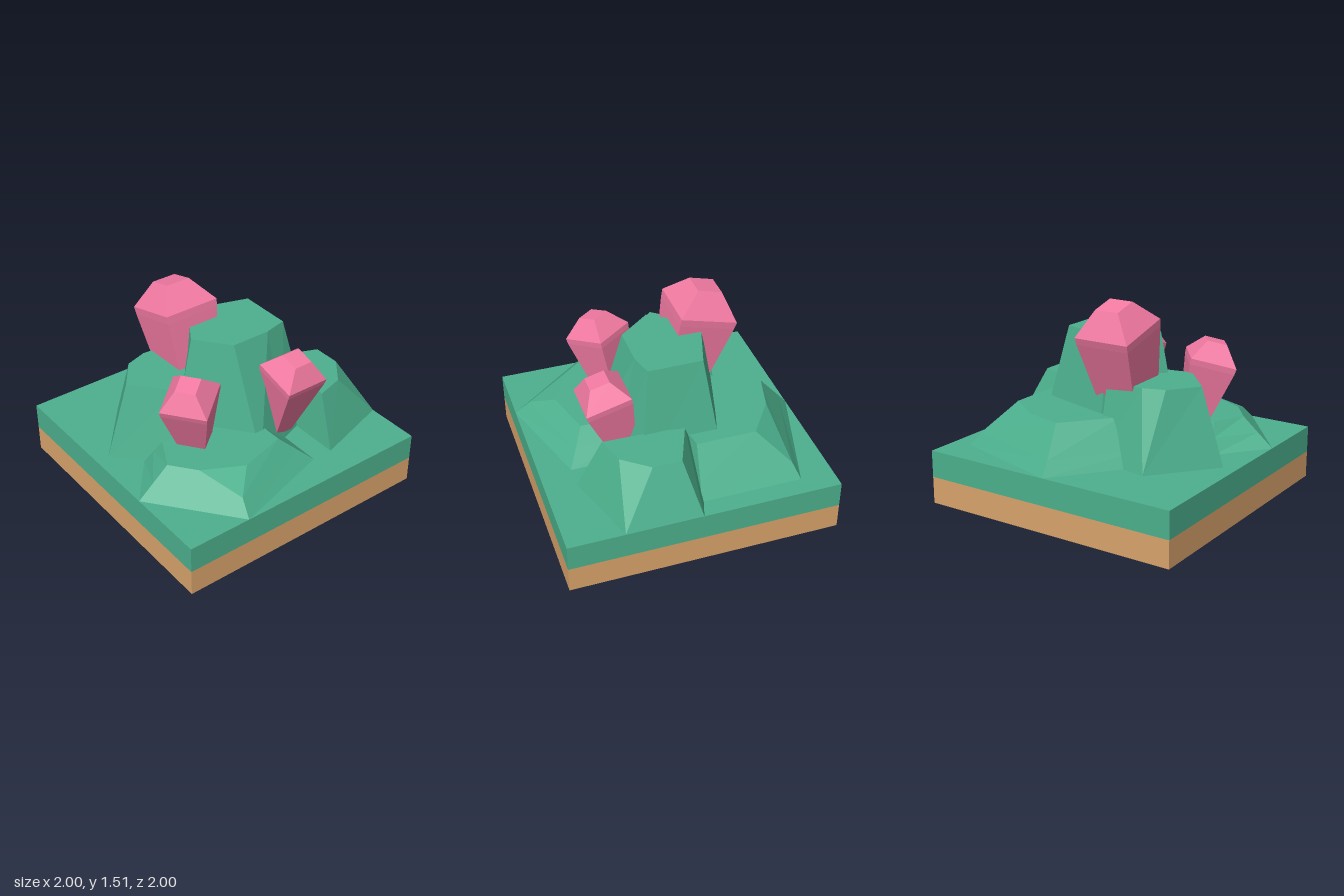
import * as THREE from 'three';

const material = (color) => new THREE.MeshStandardMaterial({ color, flatShading: true });

// Flat-sided solid through rings of [x, y, z] points, listed anticlockwise seen from above
function loft(rings) {
  const pos = [];
  const tri = (a, b, c) => pos.push(...a, ...b, ...c);
  const n = rings[0].length;
  for (let r = 0; r + 1 < rings.length; r++) {
    const lo = rings[r], hi = rings[r + 1];
    for (let i = 0; i < n; i++) {
      const j = (i + 1) % n;
      tri(lo[i], lo[j], hi[j]);
      tri(lo[i], hi[j], hi[i]);
    }
  }
  const bottom = rings[0], top = rings[rings.length - 1];
  for (let i = 1; i + 1 < n; i++) {
    tri(top[0], top[i], top[i + 1]);
    tri(bottom[0], bottom[i + 1], bottom[i]);
  }
  const g = new THREE.BufferGeometry();
  g.setAttribute('position', new THREE.Float32BufferAttribute(pos, 3));
  g.computeVertexNormals();
  return g;
}

// Ring of [x, z] pairs at one height
const ring = (y, pts) => pts.map(([x, z]) => [x, y, z]);
const squareRing = (y, h) => ring(y, [[-h, h], [h, h], [h, -h], [-h, -h]]);

export function createModel() {
  const model = new THREE.Group();
  const green = material(0x4cb08d), earth = material(0xd9a36b), pink = material(0xf27aa2);

  const add = (name, geometry, mat) => {
    const mesh = new THREE.Mesh(geometry, mat);
    mesh.name = name;
    model.add(mesh);
    return mesh;
  };

  // Layered square ground
  add('earthLayer', new THREE.BoxGeometry(2, 0.2, 2), earth).position.y = 0.1;
  add('grassLayer', new THREE.BoxGeometry(2, 0.2, 2), green).position.y = 0.3;

  // Tall central rock
  add('tallRock', loft([
    ring(0.4, [[-0.46, 0.07], [0.03, 0.46], [0.55, 0.05], [0.45, -0.25], [0.34, -0.565], [-0.28, -0.57]]),
    ring(1.24, [[-0.31, 0.06], [0.03, 0.28], [0.27, 0.09], [0.27, -0.21], [0.23, -0.38], [-0.17, -0.38]]),
  ]), green);

  // Wide low rock at the back, with a chamfered corner
  add('backWideRock', loft([
    ring(0.4, [[-1, 0], [-0.4, 0.47], [0.1, 0.2], [0, -0.86], [-0.75, -0.86], [-0.75, -0.86]]),
    ring(0.5, [[-0.92, -0.02], [-0.4, 0.39], [0.1, 0.2], [-0.02, -0.78], [-0.71, -0.78], [-0.71, -0.78]]),
    ring(0.71, [[-0.75, -0.07], [-0.4, 0.22], [0.05, 0.1], [-0.05, -0.61], [-0.49, -0.61], [-0.68, -0.34]]),
  ]), green);

  // Rock in the other back corner
  add('backCornerRock', loft([
    ring(0.4, [[-0.15, -0.45], [0.2, -0.41], [0.77, -0.41], [0.59, -1], [0.59, -1], [0.03, -1]]),
    ring(0.78, [[0, -0.5], [0.2, -0.47], [0.59, -0.46], [0.53, -0.67], [0.34, -0.82], [0.13, -0.82]]),
  ]), green);

  // Mid-height rock at the front
  add('frontRock', loft([
    ring(0.4, [[-0.5, 0.1], [-0.59, 0.53], [-0.59, 0.53], [-0.14, 0.9], [0.28, 0.55], [0.22, 0.2]]),
    ring(0.95, [[-0.38, 0.1], [-0.4, 0.4], [-0.35, 0.56], [-0.14, 0.72], [0.13, 0.48], [0.08, 0.2]]),
  ]), green);

  // Lowest rock at the front corner, with a chamfered corner
  add('frontLowRock', loft([
    ring(0.4, [[0.05, 0.72], [0.4, 1], [1, 0.52], [1, 0.52], [0.77, -0.25], [0.2, -0.25]]),
    ring(0.5, [[0.11, 0.68], [0.4, 0.88], [0.89, 0.49], [0.89, 0.49], [0.7, -0.14], [0.25, -0.14]]),
    ring(0.6, [[0.17, 0.64], [0.4, 0.76], [0.58, 0.62], [0.73, 0.33], [0.63, -0.03], [0.3, -0.03]]),
  ]), green);

  // Crystals: square section, widest at the origin, leaning 15 degrees towards their heading
  const crystals = [
    { name: 'largeCrystal', w: 0.43, depth: 1.2, foot: 0.36, at: [-0.333, 1.32, 0.155], heading: -Math.PI / 2 },
    { name: 'frontCrystal', w: 0.337, depth: 1.7, foot: 0.22, at: [0.336, 1.015, 0.515], heading: Math.atan2(0.6, 0.8) },
    { name: 'sideCrystal', w: 0.337, depth: 1.7, foot: 0.22, at: [0.515, 1.015, -0.245], heading: Math.PI / 2 },
  ];
  for (const { name, w, depth, foot, at, heading } of crystals) {
    const geometry = loft([
      squareRing(-depth * w, foot * w),
      squareRing(-0.13 * w, 0.49 * w),
      squareRing(0, 0.5 * w),
      squareRing(0.4 * w, 0.215 * w),
    ]);
    const crystal = add(name, geometry, pink);
    crystal.position.set(...at);
    crystal.rotation.set(THREE.MathUtils.degToRad(15), heading, 0, 'YXZ');
  }

  return model;
}
